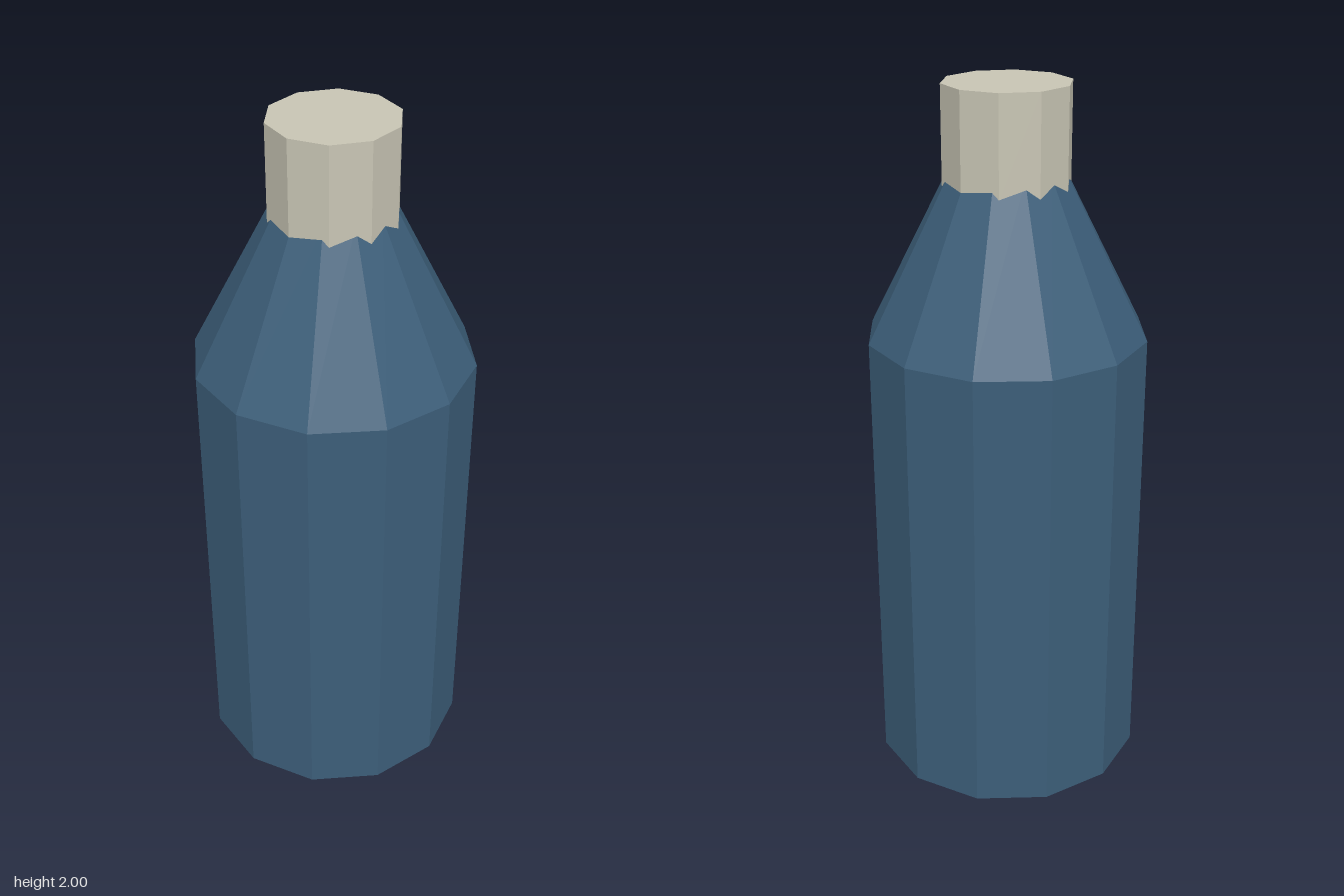
import * as THREE from 'three';

// Low-poly bottle: every part is a faceted cylinder section
export function createModel() {
  const model = new THREE.Group();
  model.name = 'bottle';

  const blue = new THREE.MeshStandardMaterial({ color: 0x3c5e79, flatShading: true });
  blue.name = 'bottle blue';
  const cream = new THREE.MeshStandardMaterial({ color: 0xc8c5b4, flatShading: true });
  cream.name = 'cap cream';

  function section(name, rTop, rBottom, y0, y1, sides, material, open = false) {
    const geometry = new THREE.CylinderGeometry(rTop, rBottom, y1 - y0, sides, 1, open);
    const mesh = new THREE.Mesh(geometry, material);
    mesh.name = name;
    mesh.position.y = (y0 + y1) / 2;
    model.add(mesh);
  }

  // Twelve-sided body with a closed base
  section('body', 0.393, 0.393, 0, 1.315, 12, blue);
  // Tapered shoulder, its tip tucked inside the cap
  section('shoulder', 0.157, 0.393, 1.315, 1.775, 12, blue, true);
  // Ten-sided cap
  section('cap', 0.176, 0.176, 1.725, 2, 10, cream);

  return model;
}
